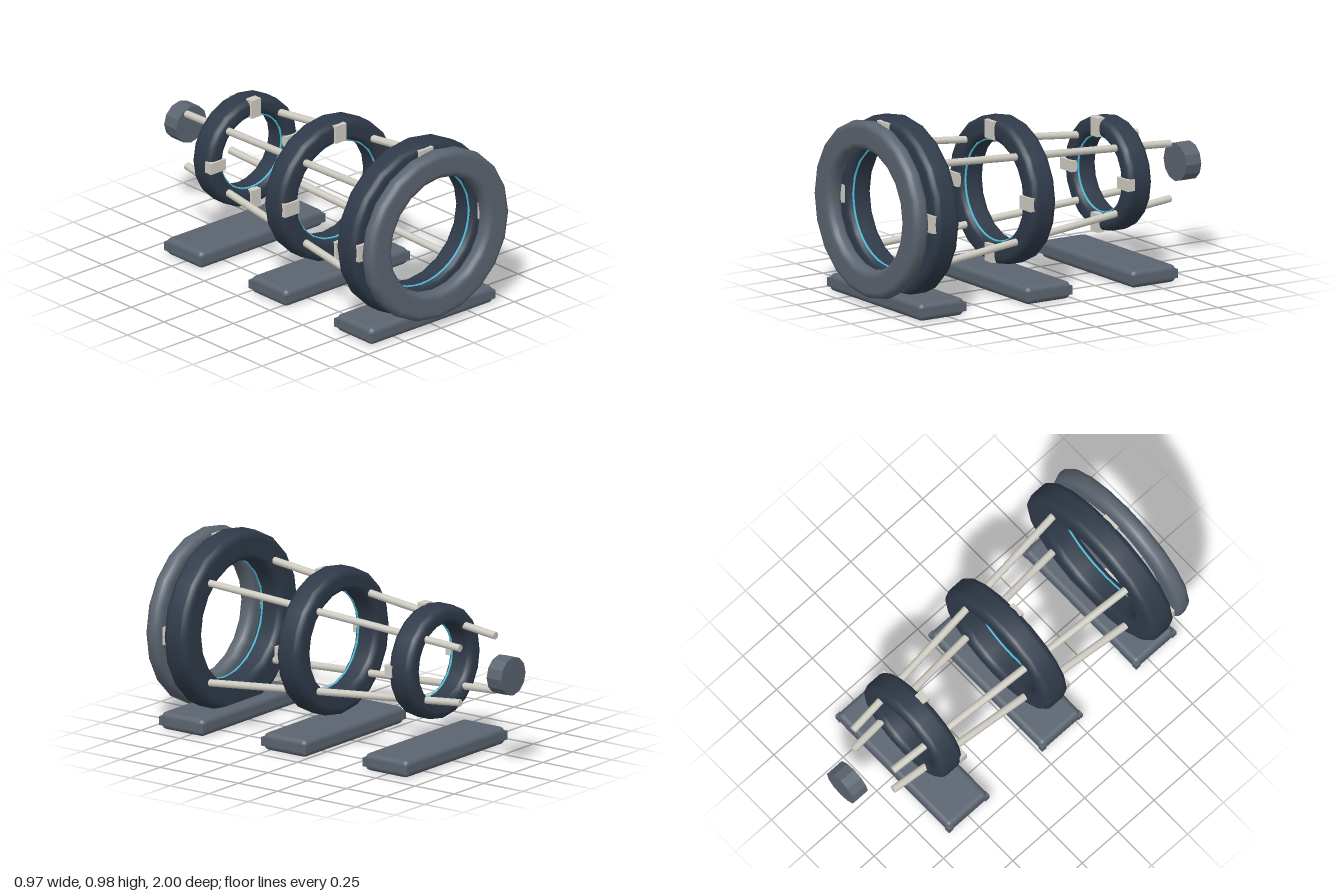
import * as THREE from 'three';
import { RoundedBoxGeometry } from 'three/addons/geometries/RoundedBoxGeometry.js';

const mat = (color, extra = {}) => new THREE.MeshStandardMaterial({ color, ...extra });
const slate = mat(0x5b6470);
const slateFlat = mat(0x5b6470, { flatShading: true });
const navy = mat(0x2f3a49);
const ivory = mat(0xcfccc2);
const cyan = mat(0x4fc0de);

function add(parent, name, geometry, material, x = 0, y = 0, z = 0) {
  const mesh = new THREE.Mesh(geometry, material);
  mesh.name = name;
  mesh.position.set(x, y, z);
  parent.add(mesh);
  return mesh;
}

// Ring around the z axis with a rounded rectangular section
function ringGeometry(inner, outer, depth, round) {
  const pts = [];
  const corners = [
    [outer - round, -depth / 2 + round, -90],
    [outer - round, depth / 2 - round, 0],
    [inner + round, depth / 2 - round, 90],
    [inner + round, -depth / 2 + round, 180],
  ];
  for (const [r, h, start] of corners) {
    for (let i = 0; i <= 4; i++) {
      const a = THREE.MathUtils.degToRad(start + i * 22.5);
      pts.push(new THREE.Vector2(r + round * Math.cos(a), h + round * Math.sin(a)));
    }
  }
  pts.push(pts[0].clone());
  return new THREE.LatheGeometry(pts, 20).rotateX(Math.PI / 2);
}

// Cylinder between two points
function rod(parent, name, from, to, radius) {
  const dir = to.clone().sub(from);
  const mesh = add(parent, name, new THREE.CylinderGeometry(radius, radius, dir.length(), 10), ivory);
  mesh.position.copy(from).add(to).multiplyScalar(0.5);
  mesh.quaternion.setFromUnitVectors(new THREE.Vector3(0, 1, 0), dir.normalize());
}

export function createModel() {
  const model = new THREE.Group();
  model.name = 'ringAssembly';

  // Everything on the axis is slightly flattened in height
  const barrel = new THREE.Group();
  barrel.name = 'barrel';
  barrel.position.y = 0.51;
  barrel.scale.y = 0.967;
  model.add(barrel);

  // Front collar and rear core
  add(barrel, 'frontCollar', ringGeometry(0.325, 0.478, 0.09, 0.036), slate, 0, 0, 0.955);
  add(barrel, 'rearCore', new THREE.CylinderGeometry(0.104, 0.104, 0.092, 12).rotateX(Math.PI / 2),
    slateFlat, 0, 0, -0.954);

  // Three shrinking rings, each with trim, four tabs and a foot
  const stages = [
    { name: 'front', z: 0.803, inner: 0.326, outer: 0.487, tabFrom: 0.36, tabTo: 0.465, tabWidth: 0.095 },
    { name: 'middle', z: 0.15, inner: 0.274, outer: 0.397, tabFrom: 0.285, tabTo: 0.383, tabWidth: 0.074 },
    { name: 'rear', z: -0.498, inner: 0.208, outer: 0.307, tabFrom: 0.208, tabTo: 0.31, tabWidth: 0.062 },
  ];
  for (const s of stages) {
    const stage = new THREE.Group();
    stage.name = s.name + 'Stage';
    stage.position.z = s.z;
    barrel.add(stage);
    add(stage, s.name + 'Ring', ringGeometry(s.inner, s.outer, 0.147, 0.036), navy);
    add(stage, s.name + 'Trim', new THREE.TorusGeometry(s.inner - 0.001, 0.006, 6, 40), cyan, 0, 0, 0.045);
    for (let i = 0; i < 4; i++) {
      const a = i * Math.PI / 2;
      const r = (s.tabFrom + s.tabTo) / 2;
      const tab = add(stage, s.name + 'Tab',
        new THREE.BoxGeometry(s.tabTo - s.tabFrom, s.tabWidth, 0.045), ivory,
        r * Math.cos(a), r * Math.sin(a), 0.0645);
      tab.rotation.z = a;
    }

    // Foot slab with a small stub at each corner
    const foot = new THREE.Group();
    foot.name = s.name + 'Foot';
    foot.position.set(0, 0.046, s.z - 0.003);
    model.add(foot);
    add(foot, s.name + 'FootSlab', new RoundedBoxGeometry(0.842, 0.092, 0.275, 3, 0.028), slate);
    for (const x of [-1, 1]) {
      for (const z of [-1, 1]) {
        add(foot, s.name + 'FootStub', new THREE.BoxGeometry(0.03, 0.046, 0.03), slate,
          x * 0.411, 0, z * 0.126);
      }
    }
  }

  // Four rods converging towards the rear
  for (const x of [-1, 1]) {
    for (const y of [-1, 1]) {
      rod(barrel, 'rod',
        new THREE.Vector3(x * 0.278, y * 0.278, 0.8),
        new THREE.Vector3(x * 0.149, y * 0.149, -0.775), 0.02);
    }
  }
  return model;
}
